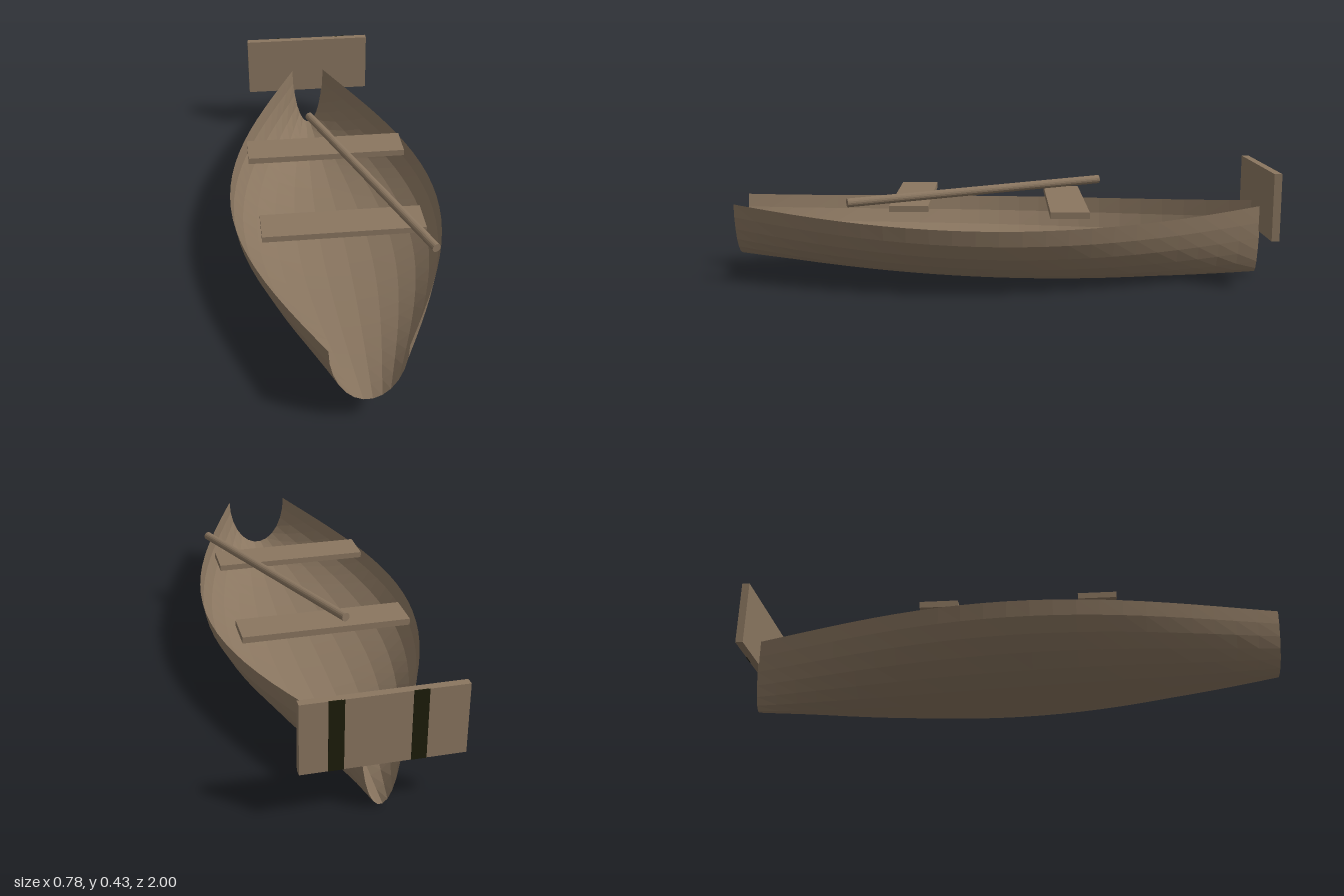
import * as THREE from 'three';

const wood = new THREE.MeshStandardMaterial({ color: 0x8a7660, flatShading: true, side: THREE.DoubleSide });
wood.name = 'weathered wood';
const dark = new THREE.MeshStandardMaterial({ color: 0x1c1c0a });
dark.name = 'dark paint';

const STERN = -0.975, BOW = 1, ROWS = 24, SIDES = 13;

// Open shell swept from half-elliptical ribs, wide amidships and rising at the ends
function hullGeometry() {
  const positions = [], index = [];
  for (let i = 0; i <= ROWS; i++) {
    const t = i / ROWS;
    const z = STERN + (BOW - STERN) * t;
    const halfWidth = 0.067 + 0.058 * t + 0.293 * Math.sin(Math.PI * t);
    const rim = 0.247 + 0.0455 * (z + 0.08) ** 2;
    const keel = 0.0475 * (z + 0.4) ** 2;
    for (let j = 0; j <= SIDES; j++) {
      const a = (Math.PI * j) / SIDES;
      positions.push(halfWidth * Math.cos(a), rim - (rim - keel) * Math.sin(a), z);
      if (i < ROWS && j < SIDES) {
        const p = i * (SIDES + 1) + j, q = p + SIDES + 1;
        index.push(p, q, p + 1, q, q + 1, p + 1);
      }
    }
  }
  const g = new THREE.BufferGeometry();
  g.setAttribute('position', new THREE.Float32BufferAttribute(positions, 3));
  g.setIndex(index);
  g.computeVertexNormals();
  return g;
}

export function createModel() {
  const model = new THREE.Group();
  model.name = 'rowingBoat';

  const add = (name, geometry, material, x = 0, y = 0, z = 0) => {
    const mesh = new THREE.Mesh(geometry, material);
    mesh.name = name;
    mesh.position.set(x, y, z);
    model.add(mesh);
    return mesh;
  };
  const box = (name, w, h, d, x, y, z, material = wood) =>
    add(name, new THREE.BoxGeometry(w, h, d), material, x, y, z);

  add('hull', hullGeometry(), wood);

  // Seats
  box('rearBench', 0.616, 0.024, 0.14, 0, 0.29, -0.24);
  box('frontBench', 0.578, 0.022, 0.14, 0, 0.311, 0.335);

  // Board across the stern with two painted bands on its back
  box('sternBoard', 0.534, 0.246, 0.028, 0, 0.31, -0.985);
  for (const x of [0.152, -0.111]) box('sternBand', 0.05, 0.246, 0.004, x, 0.31, -0.9985, dark);

  // Oar shaft lying across the seats
  const from = new THREE.Vector3(-0.05, 0.369, -0.37);
  const to = new THREE.Vector3(0.294, 0.334, 0.553);
  const direction = to.clone().sub(from);
  const oar = add('oar', new THREE.CylinderGeometry(0.016, 0.016, direction.length(), 16), wood);
  oar.position.copy(from).lerp(to, 0.5);
  oar.quaternion.setFromUnitVectors(new THREE.Vector3(0, 1, 0), direction.normalize());

  return model;
}
